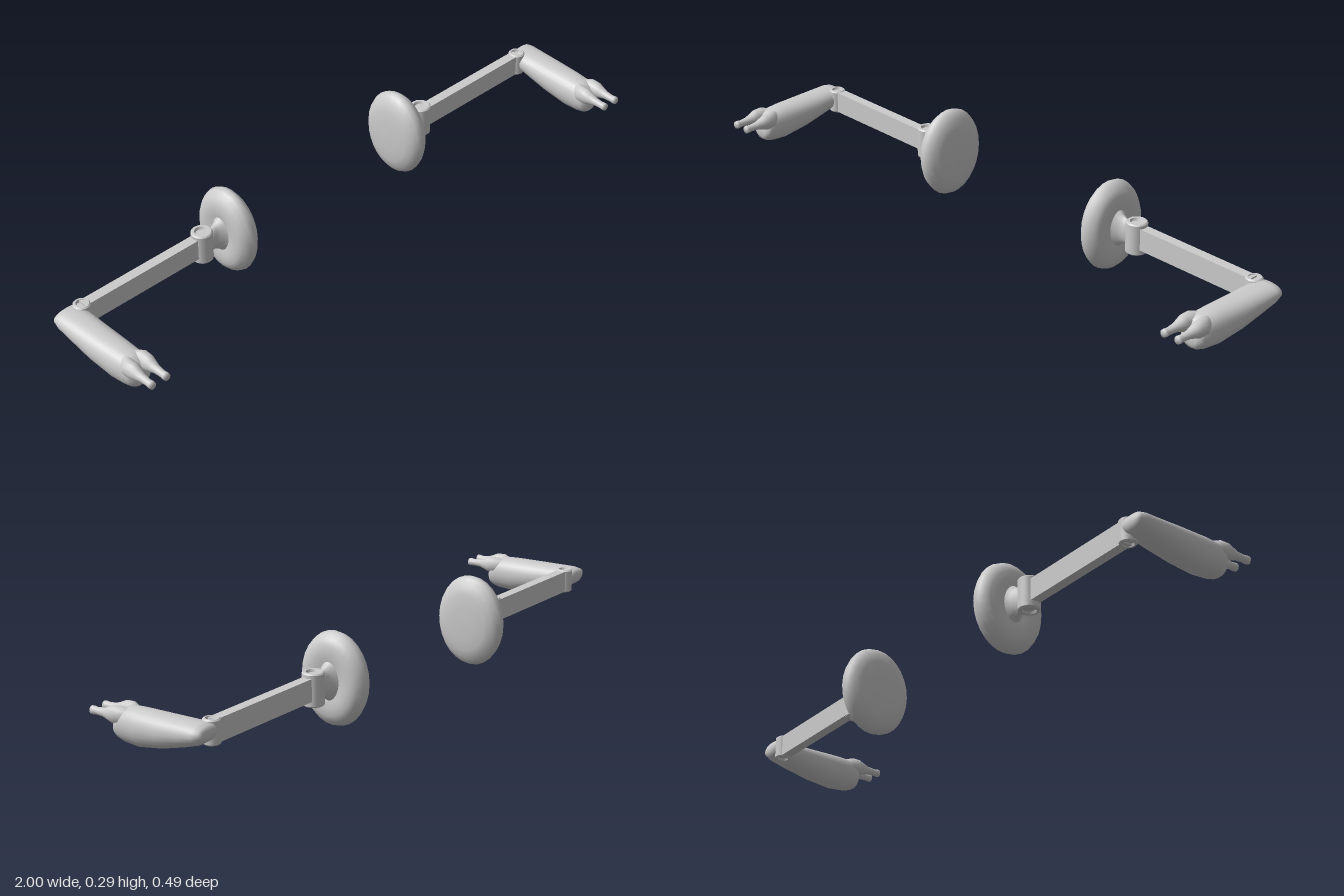
import * as THREE from 'three';

const material = new THREE.MeshStandardMaterial({ color: 0xcccccc });

// Skin of rounded sections [z, x, y, halfWidth, halfHeight] in order of rising z; ends are closed.
// square < 1 boxes the section, taper narrows its lower half.
function loft(sections, sides, square = 1, taper = 0) {
  const first = sections[0], last = sections[sections.length - 1];
  const rings = [[...first.slice(0, 3), 0, 0], ...sections, [...last.slice(0, 3), 0, 0]];
  const positions = [], index = [];
  const bend = (v) => Math.sign(v) * Math.abs(v) ** square;
  rings.forEach(([z, x, y, w, h], i) => {
    for (let j = 0; j < sides; j++) {
      const a = (j / sides) * Math.PI * 2;
      const c = bend(Math.cos(a)), s = bend(Math.sin(a));
      positions.push(x + w * c * (1 + taper * Math.min(s, 0)), y + h * s, z);
      if (i === rings.length - 1) continue;
      const p = i * sides + j, q = i * sides + ((j + 1) % sides);
      index.push(p, q, q + sides, p, q + sides, p + sides);
    }
  });
  const g = new THREE.BufferGeometry();
  g.setAttribute('position', new THREE.Float32BufferAttribute(positions, 3));
  g.setIndex(index);
  g.computeVertexNormals();
  return g;
}

// Upright hinge barrel with a chamfered rim and a shallow recess at both ends
function barrel(x, y, z, r, h) {
  const a = h / 2, c = 0.004;
  const profile = [
    [0, -a + 0.008], [r * 0.55, -a + 0.008], [r * 0.65, -a], [r - c, -a], [r, -a + c],
    [r, a - c], [r - c, a], [r * 0.65, a], [r * 0.55, a - 0.008], [0, a - 0.008],
  ];
  // each profile edge is its own band, so the corners stay crisp
  const points = profile.flatMap(([u, v], i) =>
    i === 0 || i === profile.length - 1 ? [[u, v]] : [[u, v], [u, v]]);
  const g = new THREE.LatheGeometry(points.map((p) => new THREE.Vector2(...p)), 20);
  return g.translate(x, y, z);
}

// Mirror a geometry in x and turn its faces back outward
function mirrored(source) {
  const g = source.clone().scale(-1, 1, 1);
  const ix = g.index.array;
  for (let i = 0; i < ix.length; i += 3) [ix[i], ix[i + 1]] = [ix[i + 1], ix[i]];
  return g;
}

export function createModel() {
  const parts = {};
  const hingeZ = -0.13;

  // Oval shoulder pad, turned around the x axis
  const pad = [
    [0, -0.040], [0.05, -0.039], [0.09, -0.036], [0.118, -0.028], [0.136, -0.014], [0.143, 0],
    [0.138, 0.015], [0.124, 0.03], [0.105, 0.038], [0.082, 0.04], [0.06, 0.037], [0.035, 0.032], [0, 0.03],
  ].map((p) => new THREE.Vector2(...p));
  parts.shoulderPad = new THREE.LatheGeometry(pad, 28)
    .rotateZ(-Math.PI / 2).scale(1, 1, 0.8).translate(0.352, 0.146, hingeZ);

  // Flared neck between pad and hinge
  parts.shoulderNeck = loft([
    [0.37, 0, 0, 0.05, 0.075], [0.386, 0, 0, 0.034, 0.06], [0.40, 0, 0, 0.023, 0.048],
    [0.415, 0, 0, 0.017, 0.041], [0.445, 0, 0, 0.015, 0.038],
  ], 20).rotateY(Math.PI / 2).translate(0, 0.146, hingeZ);

  // Upper arm bar with a hinge at each end
  parts.shoulderHinge = barrel(0.459, 0.145, hingeZ, 0.033, 0.1);
  parts.upperArm = new THREE.BoxGeometry(0.45, 0.068, 0.032).translate(0.682, 0.148, hingeZ);
  parts.elbowHinge = barrel(0.91, 0.148, hingeZ, 0.026, 0.074);

  // Forearm, swelling downward toward the front
  parts.forearm = loft([
    [-0.156, 0.95, 0.155, 0.032, 0.012], [-0.150, 0.95, 0.155, 0.046, 0.023],
    [-0.13, 0.95, 0.151, 0.050, 0.031], [-0.08, 0.949, 0.143, 0.051, 0.039],
    [0, 0.948, 0.132, 0.052, 0.049], [0.08, 0.946, 0.125, 0.050, 0.055],
    [0.13, 0.944, 0.125, 0.047, 0.052], [0.152, 0.943, 0.122, 0.043, 0.043],
    [0.162, 0.943, 0.116, 0.036, 0.031], [0.167, 0.943, 0.111, 0.022, 0.015],
  ], 28, 0.85, 0.15);

  // Two prongs that grow out of the upper front of the forearm
  [['innerProng', 0.918], ['outerProng', 0.969]].forEach(([name, x]) => {
    parts[name] = loft([
      [0.09, 0.944, 0.15, 0.02, 0.02], [0.14, x, 0.152, 0.023, 0.027],
      [0.165, x, 0.152, 0.022, 0.026], [0.182, x, 0.151, 0.018, 0.019],
      [0.2, x, 0.15, 0.013, 0.013], [0.225, x, 0.149, 0.011, 0.011],
      [0.238, x, 0.149, 0.012, 0.0125], [0.245, x, 0.149, 0.011, 0.012],
    ], 16);
  });

  const model = new THREE.Group();
  model.name = 'pairOfArms';
  for (const side of ['left', 'right']) {
    const arm = new THREE.Group();
    arm.name = side + 'Arm';
    for (const [name, geometry] of Object.entries(parts)) {
      const mesh = new THREE.Mesh(side === 'left' ? geometry : mirrored(geometry), material);
      mesh.name = name;
      arm.add(mesh);
    }
    model.add(arm);
  }
  return model;
}
